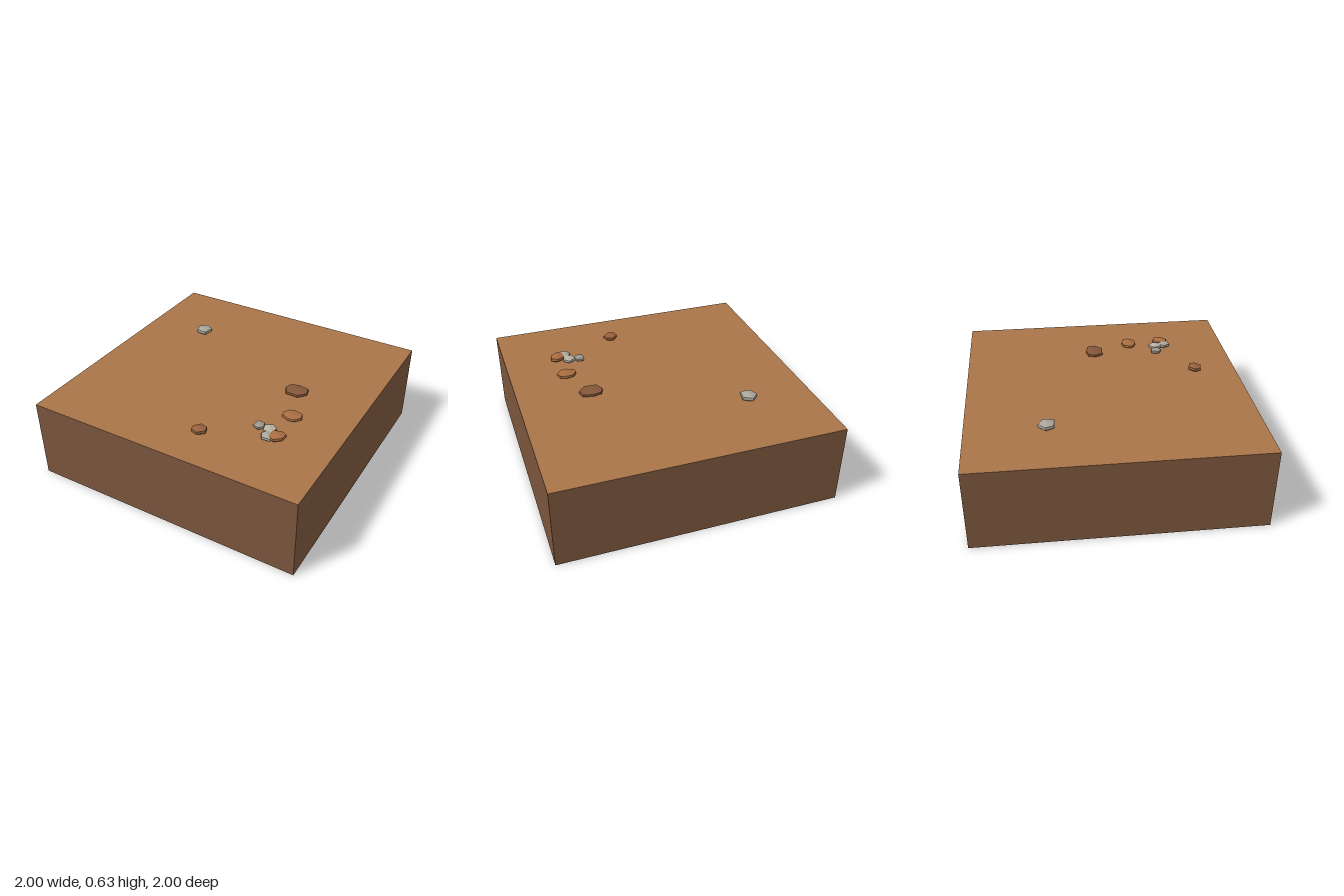
import * as THREE from 'three';

const GROUND = 0.59;

// Outlines run clockwise seen from above, as [x, z] corners.
const STONES = [
  { name: 'loneGreyStone', color: 0xaaa69a, height: 0.045,
    outline: [[-0.6, -0.46], [-0.55, -0.51], [-0.485, -0.475], [-0.5, -0.395], [-0.575, -0.4]] },
  { name: 'largeDarkStone', color: 0x845639, height: 0.035,
    outline: [[0.4, -0.03], [0.42, -0.08], [0.48, -0.095], [0.555, -0.08], [0.57, -0.02], [0.52, 0.035], [0.43, 0.03]] },
  { name: 'tanStone', color: 0xa86d40, height: 0.037,
    outline: [[0.525, 0.25], [0.55, 0.21], [0.6, 0.2], [0.65, 0.215], [0.665, 0.26], [0.63, 0.305], [0.585, 0.31], [0.53, 0.285]] },
  { name: 'clusterTanStone', color: 0xa86d40, height: 0.042,
    outline: [[0.56, 0.48], [0.615, 0.455], [0.66, 0.475], [0.655, 0.525], [0.61, 0.565], [0.56, 0.55]] },
  { name: 'clusterSmallGreyStone', color: 0x9c988c, height: 0.032,
    outline: [[0.415, 0.475], [0.425, 0.415], [0.475, 0.42], [0.49, 0.47], [0.455, 0.495]] },
  { name: 'clusterPaleStone', color: 0xb5b1a4, height: 0.035,
    outline: [[0.485, 0.44], [0.535, 0.41], [0.575, 0.445], [0.56, 0.5], [0.5, 0.5]] },
  { name: 'clusterGreyStone', color: 0xaaa69a, height: 0.036,
    outline: [[0.505, 0.53], [0.53, 0.49], [0.585, 0.5], [0.59, 0.57], [0.53, 0.575]] },
  { name: 'frontBrownStone', color: 0x965f3a, height: 0.042,
    outline: [[0.085, 0.69], [0.125, 0.645], [0.175, 0.66], [0.19, 0.705], [0.145, 0.745], [0.095, 0.73]] },
];

// Faceted pebble: undercut foot, upright rim and a shallow peak.
function stoneGeometry(outline, height) {
  const n = outline.length;
  const cx = outline.reduce((s, p) => s + p[0], 0) / n;
  const cz = outline.reduce((s, p) => s + p[1], 0) / n;
  const rings = [[0.72, 0], [1, 0.28], [0.97, 0.72]]; // [width, height] fractions
  const positions = [];
  const index = [];
  for (const [w, h] of rings) {
    for (const [x, z] of outline) positions.push((x - cx) * w, h * height, (z - cz) * w);
  }
  positions.push(0, height, 0);
  const apex = rings.length * n;
  for (let i = 0; i < n; i++) {
    const j = (i + 1) % n;
    for (let r = 0; r < rings.length - 1; r++) {
      const a = r * n + i, b = r * n + j;
      index.push(a, a + n, b + n, a, b + n, b);
    }
    index.push(apex - n + i, apex, apex - n + j);
  }
  const geometry = new THREE.BufferGeometry();
  geometry.setAttribute('position', new THREE.Float32BufferAttribute(positions, 3));
  geometry.setIndex(index);
  geometry.computeVertexNormals();
  return { geometry, cx, cz };
}

export function createModel() {
  const model = new THREE.Group();
  model.name = 'dirtTile';

  // Earth block with a lighter top face
  const side = new THREE.MeshStandardMaterial({ color: 0x7a553c });
  const top = new THREE.MeshStandardMaterial({ color: 0xa87448 });
  const block = new THREE.Mesh(
    new THREE.BoxGeometry(2, GROUND, 2),
    [side, side, top, side, side, side],
  );
  block.name = 'earthBlock';
  block.position.y = GROUND / 2;
  model.add(block);

  // Scattered pebbles
  const stones = new THREE.Group();
  stones.name = 'stones';
  for (const { name, color, height, outline } of STONES) {
    const { geometry, cx, cz } = stoneGeometry(outline, height);
    const stone = new THREE.Mesh(
      geometry,
      new THREE.MeshStandardMaterial({ color, flatShading: true }),
    );
    stone.name = name;
    stone.position.set(cx, GROUND, cz);
    stones.add(stone);
  }
  model.add(stones);
  return model;
}
